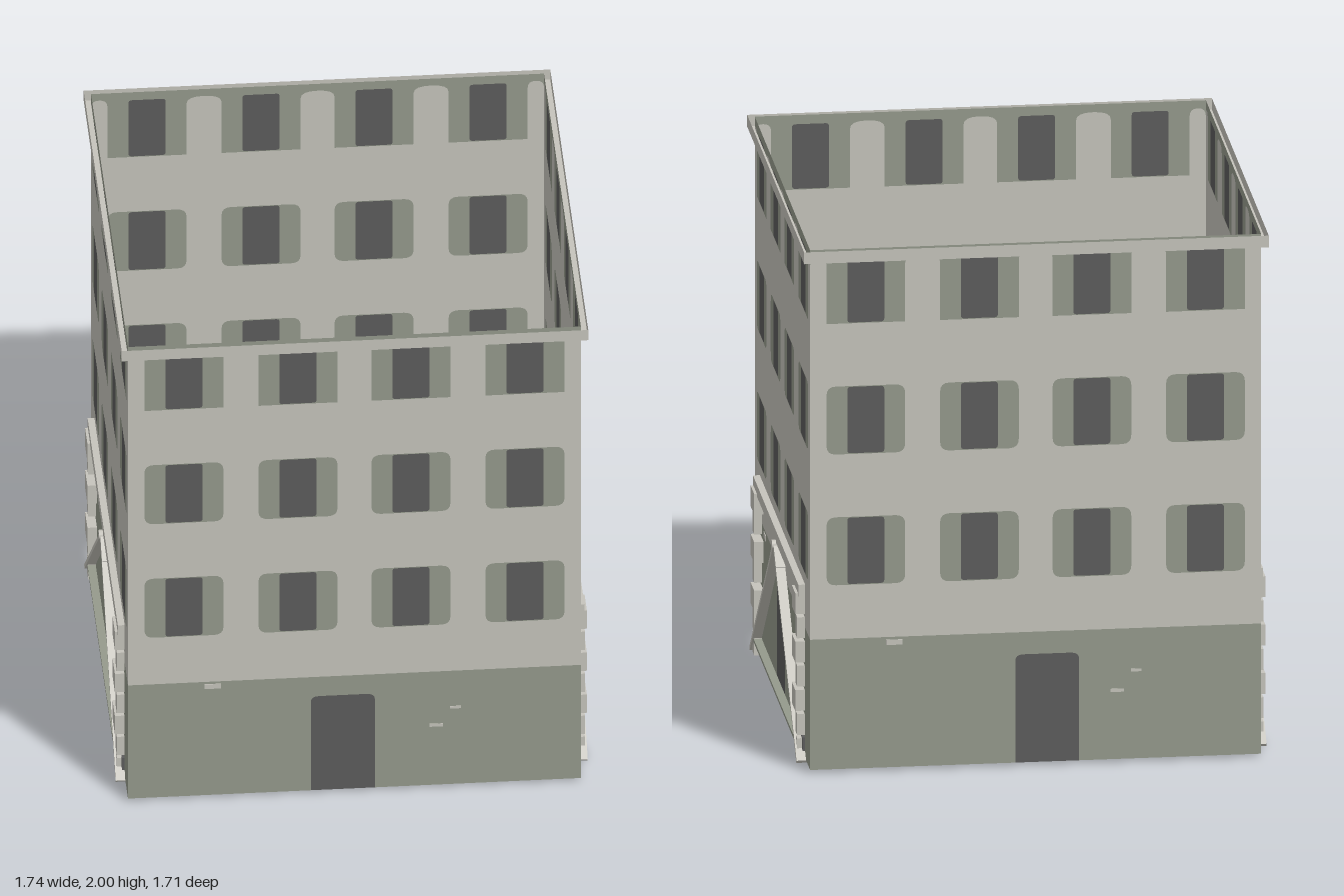
import * as THREE from 'three';

const mat = (name, color, side = THREE.FrontSide) => {
  const m = new THREE.MeshStandardMaterial({ color, side });
  m.name = name;
  return m;
};

export function createModel() {
  const model = new THREE.Group();
  model.name = 'building';
  const stone = mat('pale stone', 0xc6c4bc, THREE.DoubleSide);
  const green = mat('grey green plaster', 0x959a8c, THREE.DoubleSide);
  const dark = mat('dark opening', 0x5c5c5c, THREE.DoubleSide);

  const add = (parent, name, geo, material, x = 0, y = 0, z = 0) => {
    const m = new THREE.Mesh(geo, material);
    m.name = name;
    m.position.set(x, y, z);
    parent.add(m);
    return m;
  };
  const box = (parent, name, material, w, h, d, x, y, z) =>
    add(parent, name, new THREE.BoxGeometry(w, h, d), material, x, y, z);

  // Rectangle with softened corners
  const rounded = (x0, y0, x1, y1, r) => {
    const s = new THREE.Shape();
    s.moveTo(x0 + r, y0);
    s.lineTo(x1 - r, y0);
    s.quadraticCurveTo(x1, y0, x1, y0 + r);
    s.lineTo(x1, y1 - r);
    s.quadraticCurveTo(x1, y1, x1 - r, y1);
    s.lineTo(x0 + r, y1);
    s.quadraticCurveTo(x0, y1, x0, y1 - r);
    s.lineTo(x0, y0 + r);
    s.quadraticCurveTo(x0, y0, x0 + r, y0);
    return s;
  };
  const flat = (s) => new THREE.ShapeGeometry(s, 4);

  const W = 0.83, BASE = 0.51;
  const columns = [-0.625, -0.207, 0.207, 0.625];
  const rows = [0.715, 1.215];
  const FH = 0.145, GH = 0.068;

  // Upper edge of the stone: round-topped piers between the top windows
  const crest = (s) => {
    const edges = [-W, ...columns.flatMap((c) => [c - FH, c + FH]), W];
    for (let i = 0; i < edges.length; i += 2) {
      const l = edges[i], r = edges[i + 1], mid = (l + r) / 2;
      s.lineTo(l, 1.715);
      s.lineTo(l, 1.94);
      s.quadraticCurveTo(l, 1.97, mid, 1.97);
      s.quadraticCurveTo(r, 1.97, r, 1.94);
      s.lineTo(r, 1.715);
    }
  };

  // One facade, flat in its own plane, with every opening cut to fit
  const facade = (name, mirrorDoor) => {
    const g = new THREE.Group();
    g.name = name;
    const wall = new THREE.Shape();
    wall.moveTo(-W, BASE);
    crest(wall);
    wall.lineTo(W, BASE);

    const top = new THREE.Shape();
    top.moveTo(-W, 2);
    crest(top);
    top.lineTo(W, 2);

    for (const c of columns) {
      for (const y of rows) {
        wall.holes.push(rounded(c - FH, y, c + FH, y + 0.26, 0.035));
        const frame = rounded(c - FH, y, c + FH, y + 0.26, 0.035);
        const pane = () => rounded(c - GH, y + 0.003, c + GH, y + 0.257, 0.012);
        frame.holes.push(pane());
        add(g, 'windowFrame', flat(frame), green);
        add(g, 'windowPane', flat(pane()), dark);
      }
      const pane = () => rounded(c - GH, 1.718, c + GH, 1.965, 0.012);
      top.holes.push(pane());
      add(g, 'topWindowPane', flat(pane()), dark);
    }
    add(g, 'upperWall', flat(wall), stone);
    add(g, 'topWindowFrames', flat(top), green);

    // Plaster base with a door
    const d = mirrorDoor ? [-0.075, 0.16] : [-0.16, 0.075];
    const base = new THREE.Shape();
    base.moveTo(-W, 0.012);
    base.lineTo(d[0], 0.012);
    base.lineTo(d[0], 0.4);
    base.quadraticCurveTo(d[0], 0.425, d[0] + 0.03, 0.425);
    base.lineTo(d[1] - 0.03, 0.425);
    base.quadraticCurveTo(d[1], 0.425, d[1], 0.4);
    base.lineTo(d[1], 0.012);
    base.lineTo(W, 0.012);
    base.lineTo(W, BASE);
    base.lineTo(-W, BASE);
    add(g, 'baseWall', flat(base), green);
    const door = new THREE.Shape();
    door.moveTo(d[0], 0.012);
    door.lineTo(d[1], 0.012);
    door.lineTo(d[1], 0.4);
    door.quadraticCurveTo(d[1], 0.425, d[1] - 0.03, 0.425);
    door.lineTo(d[0] + 0.03, 0.425);
    door.quadraticCurveTo(d[0], 0.425, d[0], 0.4);
    add(g, 'door', flat(door), dark);

    // Worn plaster patches
    for (const [x, y, w, h] of [[-0.52, 0.49, 0.06, 0.02], [0.3, 0.275, 0.05, 0.012], [0.37, 0.35, 0.04, 0.01]])
      box(g, 'wornPatch', stone, w, h, 0.003, x, y, 0.001);

    // Cornice face and its soffit
    add(g, 'cornice', new THREE.PlaneGeometry(1.71, 0.045), stone, 0, 1.9775, 0.025);
    return g;
  };

  ['frontFacade', 'rightFacade', 'backFacade', 'leftFacade'].forEach((name, i) => {
    const pivot = new THREE.Group();
    pivot.name = name + 'Side';
    pivot.rotation.y = (i * Math.PI) / 2;
    const f = facade(name, i === 2);
    f.position.z = W;
    pivot.add(f);
    model.add(pivot);
  });
  const soffit = rounded(-0.855, -0.855, 0.855, 0.855, 0.001);
  soffit.holes.push(rounded(-W, -W, W, W, 0.001));
  const stoneSolid = stone;
  const under = add(model, 'corniceSoffit', flat(soffit), stoneSolid, 0, 1.956, 0);
  under.rotation.x = Math.PI / 2;

  // Low gabled roof running through the building
  const pitch = Math.atan2(0.62, 0.71);
  for (const s of [-1, 1]) {
    const slope = new THREE.Group();
    slope.name = s > 0 ? 'frontRoofSlope' : 'backRoofSlope';
    slope.position.set(0, 0.312, s * 0.355);
    slope.rotation.x = s * pitch;
    box(slope, 'roofSlab', stone, 1.73, 0.015, 0.93, 0, 0, 0);
    box(slope, 'ridgeCap', stone, 1.73, 0.004, 0.1, 0, 0.0095, -s * 0.415);
    model.add(slope);

    // Long sill along the eaves with dark ends
    box(model, 'eavesSill', green, 1.46, 0.08, 0.04, 0, 0.05, s * 0.66);
    for (const e of [-1, 1])
      box(model, 'eavesSillEnd', dark, 0.11, 0.08, 0.04, e * 0.785, 0.05, s * 0.66);
  }
  const ridge = add(model, 'ridgePole', new THREE.CylinderGeometry(0.018, 0.018, 1.74, 10), stone, 0, 0.62, 0);
  ridge.rotation.z = Math.PI / 2;

  // Side porches: corner blocks, lintel and gable panel
  for (const e of [-1, 1]) {
    for (const s of [-1, 1]) {
      for (let i = 0; i < 7; i++) {
        const wide = i % 2 === 0 && i > 0;
        const w = wide ? 0.105 : 0.05;
        box(model, 'cornerBlock', stone, wide ? 0.035 : 0.028, 0.08, w,
          e * (wide ? 0.8475 : 0.844), 0.045 + i * 0.0925, s * (0.67 - w / 2));
      }
    }
    box(model, 'lintel', stone, 0.025, 0.045, 1.36, e * 0.8425, 0.6525, 0);
    const gable = new THREE.Shape();
    gable.moveTo(-0.61, 0.08);
    gable.lineTo(0.61, 0.08);
    gable.lineTo(0, 0.59);
    const panel = add(model, 'gablePanel', flat(gable), stone, e * 0.826, 0, 0);
    panel.rotation.y = (e * Math.PI) / 2;
  }

  // Floor with a small block and pegs beneath
  box(model, 'floor', green, 1.72, 0.012, 1.25, 0, 0.062, 0);
  box(model, 'floorBlock', stone, 0.07, 0.05, 0.07, 0, 0.032, 0);
  for (const [x, z] of [[0.2, 0], [-0.2, 0], [0, 0.2], [0, -0.2]])
    box(model, 'floorPeg', stone, 0.015, 0.05, 0.015, x, 0.032, z);

  return model;
}
